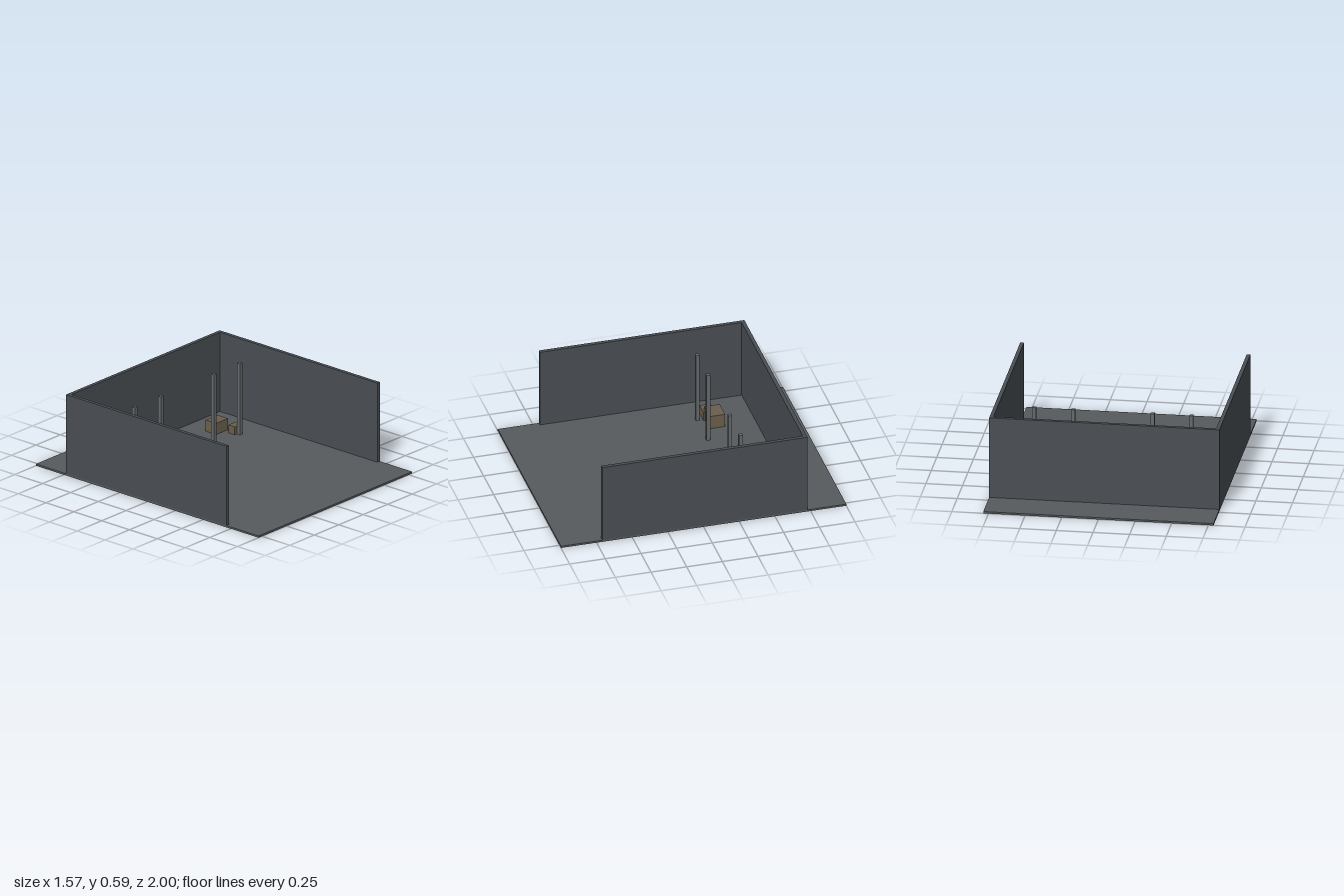
import * as THREE from 'three';

const floorMat = new THREE.MeshStandardMaterial({ color: 0x565a5d });
const wallMat = new THREE.MeshStandardMaterial({ color: 0x4a4f54 });
const pillarMat = new THREE.MeshStandardMaterial({ color: 0x666a6d });
const crateMat = new THREE.MeshStandardMaterial({ color: 0x6b5f4c });

const FLOOR = 0.013; // top of the floor slab

// Box standing on height y, centred on x and z
function block(name, mat, [w, h, d], x, y, z) {
  const mesh = new THREE.Mesh(new THREE.BoxGeometry(w, h, d), mat);
  mesh.name = name;
  mesh.position.set(x, y + h / 2, z);
  return mesh;
}

export function createModel() {
  const model = new THREE.Group();
  model.name = 'openWarehouse';

  // Floor slab
  model.add(block('floor', floorMat, [1.57, FLOOR, 2], 0, 0, 0));

  // Three walls, open at the front
  const wallH = 0.574, wallT = 0.026;
  model.add(block('backWall', wallMat, [1.57, wallH, wallT], 0, FLOOR, -0.716));
  for (const [side, s] of [['left', 1], ['right', -1]]) {
    model.add(block(side + 'Wall', wallMat, [wallT, wallH, 1.425], s * 0.772, FLOOR, -0.002));

    // Pillars, mirrored in a row near the back
    model.add(block(side + 'OuterPillar', pillarMat, [0.026, 0.515, 0.026], s * 0.536, FLOOR, -0.329));
    model.add(block(side + 'InnerPillar', pillarMat, [0.026, 0.515, 0.026], s * 0.271, FLOOR, -0.329));
  }

  // Crates: size, x, z
  const crates = [
    [[0.095, 0.065, 0.076], -0.56, -0.403],
    [[0.136, 0.096, 0.11], -0.468, -0.431],
    [[0.12, 0.082, 0.095], 0.483, -0.489],
    [[0.076, 0.057, 0.057], 0.539, -0.373],
  ];
  crates.forEach(([size, x, z], i) => {
    model.add(block('crate' + (i + 1), crateMat, size, x, FLOOR, z));
  });

  return model;
}
